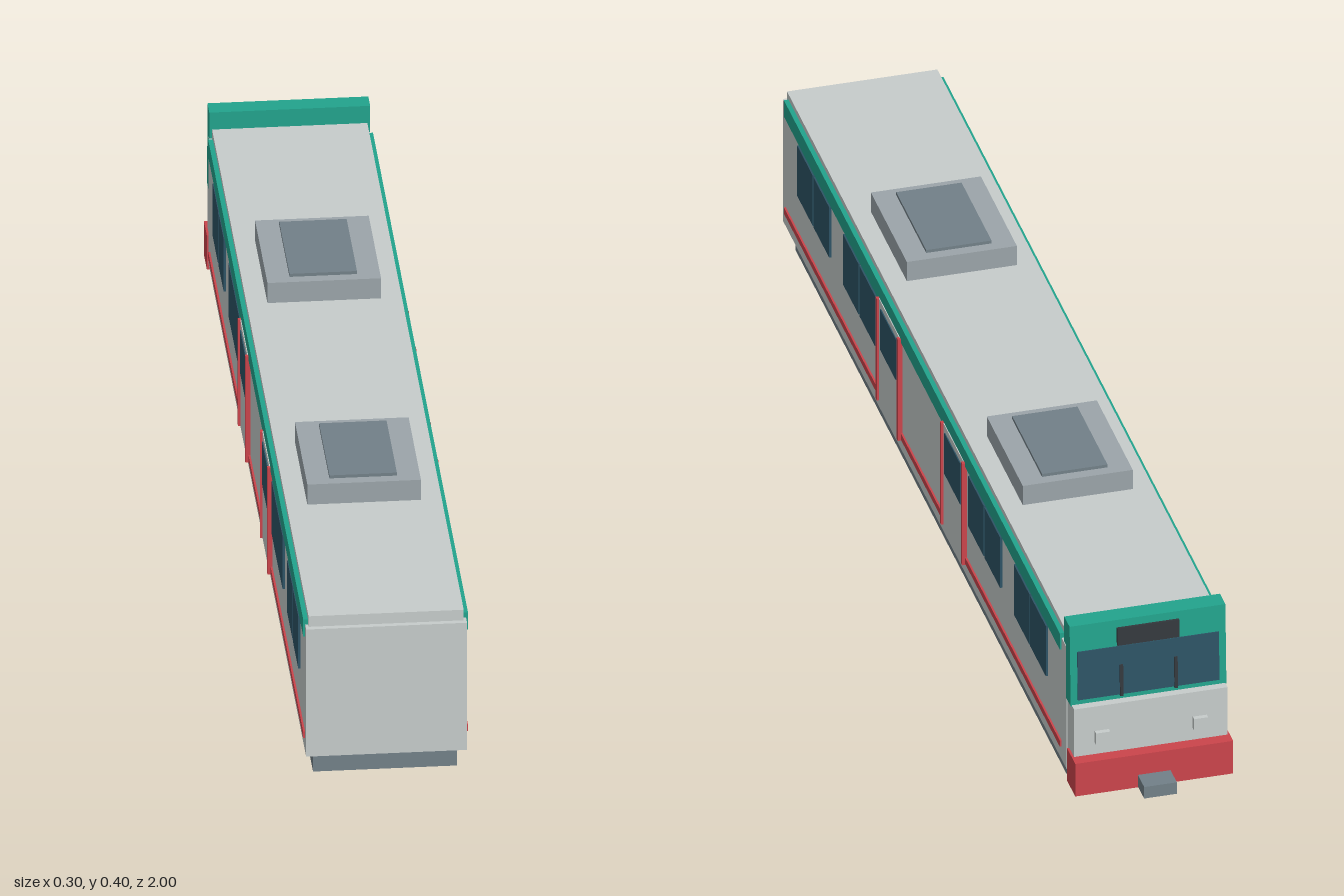
import * as THREE from 'three';

const mat = (name, color) => {
  const m = new THREE.MeshStandardMaterial({ color });
  m.name = name;
  return m;
};

export function createModel() {
  const white = mat('body grey', 0xc6cccb);
  const green = mat('trim green', 0x22a38c);
  const red = mat('trim red', 0xcb444b);
  const glass = mat('window blue', 0x2d5365);
  const steel = mat('underframe grey', 0x728088);
  const unitGrey = mat('roof unit grey', 0x9ba4a9);
  const dark = mat('running gear black', 0x33383d);

  const model = new THREE.Group();
  model.name = 'railcar';

  // Box given by its limits on each axis
  const box = (name, m, [x0, x1], [y0, y1], [z0, z1], parent = model) => {
    const geo = new THREE.BoxGeometry(Math.abs(x1 - x0), Math.abs(y1 - y0), Math.abs(z1 - z0));
    const mesh = new THREE.Mesh(geo, m);
    mesh.position.set((x0 + x1) / 2, (y0 + y1) / 2, (z0 + z1) / 2);
    mesh.name = name;
    parent.add(mesh);
    return mesh;
  };
  const wide = (w) => [-w, w];

  // Shell
  box('body', white, wide(0.143), [0.078, 0.332], [-0.893, 1]);
  box('roof', white, wide(0.138), [0.332, 0.353], [-0.885, 0.99]);
  box('underframe', steel, wide(0.128), [0.032, 0.078], [-0.85, 0.97]);

  // Roof units
  for (const z of [0.445, -0.328]) {
    box('roofUnit', unitGrey, wide(0.101), [0.353, 0.393], [z - 0.12, z + 0.12]);
    box('roofUnitLid', steel, wide(0.06), [0.393, 0.399], [z - 0.1, z + 0.1]);
  }

  // Sides: trim bands, windows and doors, mirrored
  const doors = [0.274, -0.155];
  const windowPairs = [0.783, 0.478, -0.357, -0.662];
  for (const s of [-1, 1]) {
    const side = new THREE.Group();
    side.name = s > 0 ? 'leftSide' : 'rightSide';
    model.add(side);
    const out = (a, b) => [s * a, s * b];
    box('upperBand', green, out(0.136, 0.1465), [0.308, 0.342], [-0.86, 0.98], side);
    box('lowerBand', red, out(0.14, 0.1465), [0.105, 0.118], [-0.86, 0.98], side);
    for (const z of windowPairs) {
      for (const d of [-0.0547, 0.0547]) {
        box('sideWindow', glass, out(0.142, 0.147), [0.197, 0.302], [z + d - 0.052, z + d + 0.052], side);
      }
    }
    for (const z of doors) {
      box('door', white, out(0.14, 0.148), [0.103, 0.315], [z - 0.068, z + 0.068], side);
      box('doorWindow', glass, out(0.146, 0.15), [0.217, 0.302], [z - 0.053, z + 0.053], side);
      for (const d of [-0.07, 0.07]) {
        box('doorPost', red, out(0.14, 0.152), [0.103, 0.315], [z + d - 0.004, z + d + 0.004], side);
      }
    }
  }

  // Bogies
  for (const [front, rear] of [[0.725, 0.58], [-0.459, -0.6]]) {
    const bogie = new THREE.Group();
    bogie.name = 'bogie';
    model.add(bogie);
    const mid = (front + rear) / 2;
    box('bogieFrame', dark, wide(0.119), [0.025, 0.034], [mid - 0.125, mid + 0.125], bogie);
    for (const z of [front, rear]) {
      for (const s of [-1, 1]) {
        const wheel = new THREE.Mesh(new THREE.CylinderGeometry(0.03, 0.03, 0.02, 16), dark);
        wheel.rotation.z = Math.PI / 2;
        wheel.position.set(s * 0.102, 0.03, z);
        wheel.name = 'wheel';
        bogie.add(wheel);
        box('axleBox', unitGrey, [s * 0.108, s * 0.121], [0.018, 0.034], [z - 0.014, z + 0.014], bogie);
      }
    }
  }

  // Cab end: hood, leaning screen panel, lower nose and bumper
  const cab = new THREE.Group();
  cab.name = 'cab';
  model.add(cab);
  box('cabHood', green, wide(0.143), [0.335, 0.387], [-0.911, -0.877], cab);
  const profile = new THREE.Shape([
    [0.89, 0.225], [0.92, 0.225], [0.913, 0.387], [0.89, 0.387],
  ].map(([a, b]) => new THREE.Vector2(a, b)));
  const panelGeo = new THREE.ExtrudeGeometry(profile, { depth: 0.286, bevelEnabled: false });
  panelGeo.rotateY(Math.PI / 2).translate(-0.143, 0, 0);
  const panel = new THREE.Mesh(panelGeo, green);
  panel.name = 'cabPanel';
  cab.add(panel);

  // Thin plate lying on the leaning face
  const onFace = (name, m, xs, ys, depth) => {
    const y = (ys[0] + ys[1]) / 2;
    const z = -0.92 + (y - 0.225) * 0.0432;
    const plate = box(name, m, xs, ys, [z - depth, z + 0.002], cab);
    plate.rotation.x = 0.0432;
  };
  onFace('windscreen', glass, wide(0.13), [0.236, 0.334], 0.002);
  onFace('displayBoard', dark, wide(0.057), [0.337, 0.372], 0.005);
  for (const x of [-0.05, 0.05]) {
    onFace('wiper', dark, [x - 0.003, x + 0.003], [0.234, 0.297], 0.005);
  }

  box('cabNose', white, wide(0.141), [0.12, 0.227], [-0.935, -0.89], cab);
  for (const x of [-0.09, 0.09]) {
    box('headlight', white, [x - 0.013, x + 0.013], [0.152, 0.176], [-0.944, -0.93], cab);
  }
  box('bumper', red, wide(0.145), [0.06, 0.128], [-0.958, -0.903], cab);
  box('coupler', steel, wide(0.03), [0.062, 0.086], [-1, -0.95], cab);

  return model;
}
